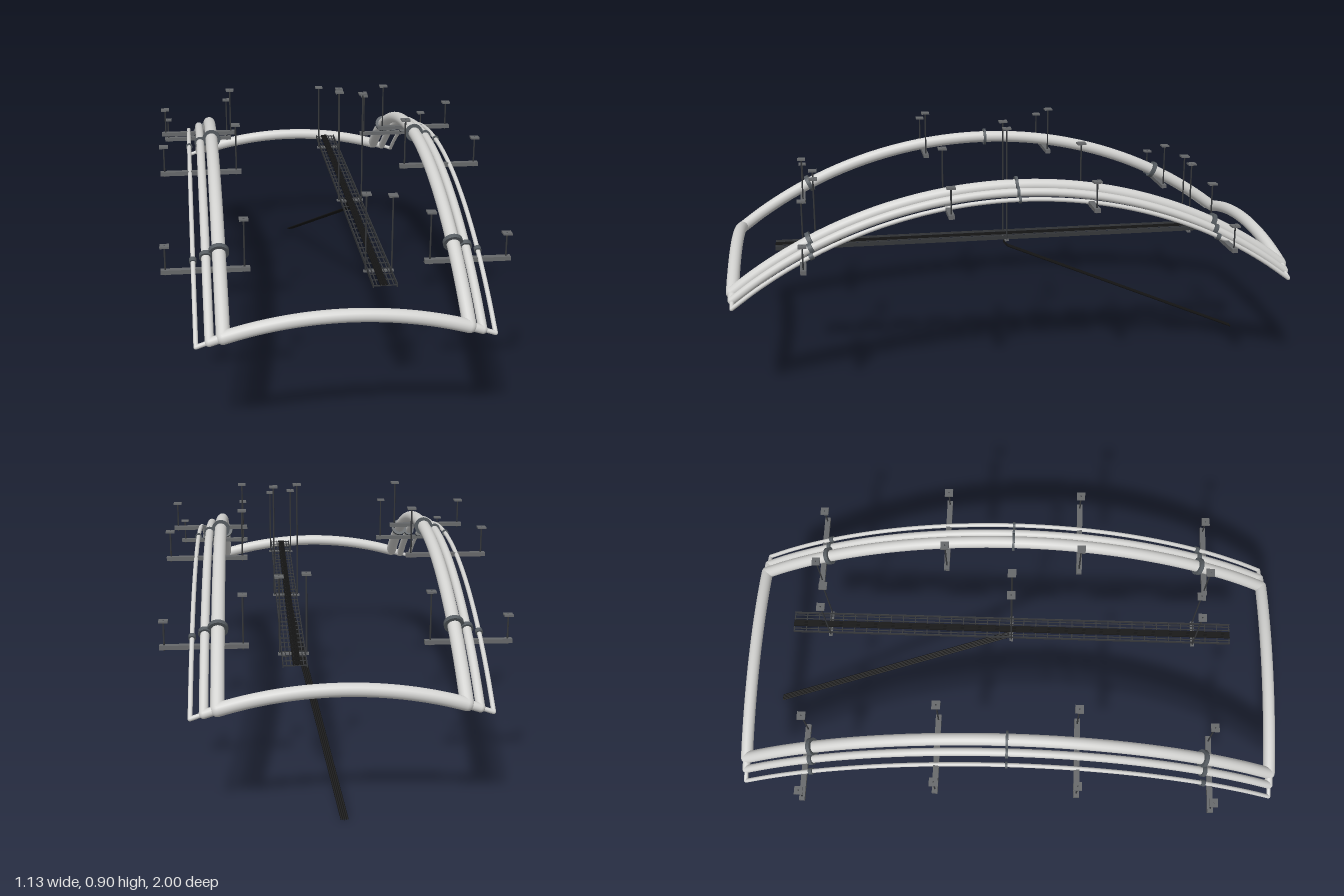
import * as THREE from 'three';

const mat = (name, color, extra = {}) => Object.assign(new THREE.MeshStandardMaterial({ color, ...extra }), { name });

export function createModel() {
  const model = new THREE.Group();
  const steel = mat('light steel', 0xd2d2d0);
  const flangeGrey = mat('flange grey', 0x555b60);
  const barGrey = mat('bar grey', 0x66686a);
  const rodDark = mat('rod dark grey', 0x35373a);
  const black = mat('cable black', 0x141414);

  const add = (parent, name, geo, material, x = 0, y = 0, z = 0) => {
    const m = new THREE.Mesh(geo, material);
    m.name = name;
    m.position.set(x, y, z);
    parent.add(m);
    return m;
  };
  const group = (name) => {
    const g = new THREE.Group();
    g.name = name;
    model.add(g);
    return g;
  };
  const box = (w, h, d) => new THREE.BoxGeometry(w, h, d);

  // Height lost on a circular arc of radius R at distance t from its crown
  const drop = (t, R) => R - Math.sqrt(R * R - t * t);
  const END = 0.977, R_LONG = 1.59, R_CROSS = 1.34, CROSS_TOP = 0.453;

  const arcTube = (half, r, point) => {
    const pts = [];
    for (let i = 0; i <= 24; i++) pts.push(point(half * (i / 12 - 1)));
    return new THREE.TubeGeometry(new THREE.CatmullRomCurve3(pts), 64, r, 20);
  };

  // Three nested pipe loops: arched side pipes joined by arched end pipes
  const pipes = [
    { name: 'large', x: 0.38, r: 0.022, flange: 0.033 },
    { name: 'medium', x: 0.422, r: 0.0145, flange: 0.021 },
    { name: 'small', x: 0.463, r: 0.0075, flange: 0.012 },
  ];
  for (const p of pipes) {
    const g = group(p.name + 'PipeLoop');
    const endY = CROSS_TOP - drop(p.x, R_CROSS);
    const crown = endY + drop(END, R_LONG);
    for (const s of [-1, 1]) {
      add(g, 'sidePipe', arcTube(END, p.r, (z) => new THREE.Vector3(s * p.x, crown - drop(z, R_LONG), z)), steel);
      add(g, 'endPipe', arcTube(p.x, p.r, (x) => new THREE.Vector3(x, CROSS_TOP - drop(x, R_CROSS), s * END)), steel);
      for (const e of [-1, 1]) add(g, 'cornerJoint', new THREE.SphereGeometry(p.r, 20, 12), steel, s * p.x, endY, e * END);
      // Flange collars, square to the pipe
      for (const z of [-0.705, 0, 0.705]) {
        const collar = add(g, 'flange', new THREE.CylinderGeometry(p.flange, p.flange, z ? 0.015 : 0.009, 28), flangeGrey,
          s * p.x, crown - drop(z, R_LONG), z);
        collar.rotation.x = Math.PI / 2 + Math.asin(z / R_LONG);
      }
    }
  }

  // Threaded rod with a ceiling plate
  const hanger = (parent, x, z, y0, y1) => {
    add(parent, 'hangerRod', new THREE.CylinderGeometry(0.0028, 0.0028, y1 - y0, 8), rodDark, x, (y0 + y1) / 2, z);
    add(parent, 'ceilingPlate', box(0.03, 0.006, 0.03), barGrey, x, y1 - 0.003, z);
  };

  // Crossbars below the side pipes
  for (const s of [-1, 1]) {
    for (const [z, y, inner, outer] of [[0.245, 0.685, 0.857, 0.785], [0.733, 0.519, 0.69, 0.608]]) {
      for (const e of [-1, 1]) {
        const g = group('pipeSupport');
        add(g, 'crossbar', box(0.284, 0.014, 0.02), barGrey, s * 0.424, y, e * z);
        hanger(g, s * 0.3, e * z, y - 0.012, inner);
        hanger(g, s * 0.551, e * z, y - 0.012, outer);
      }
    }
  }

  // Ladder tray with rails, long wires and rungs
  const tray = group('cableTray');
  const TX = 0.139, LEN = 1.664;
  for (const s of [-1, 1]) add(tray, 'sideRail', box(0.003, 0.014, LEN), rodDark, TX + s * 0.038, 0.482, 0);
  for (let i = -2; i <= 2; i++) add(tray, 'longWire', box(0.003, 0.003, LEN), rodDark, TX + i * 0.0135, 0.485, 0);
  for (let i = 0; i <= 36; i++) add(tray, 'rung', box(0.076, 0.003, 0.004), rodDark, TX, 0.482, (i / 36 - 0.5) * (LEN - 0.004));
  for (const z of [-0.69, 0, 0.69]) {
    add(tray, 'traySupport', box(0.1, 0.006, 0.014), barGrey, TX, 0.474, z);
    hanger(tray, 0.096, z, 0.471, z ? 0.744 : 0.9);
    hanger(tray, 0.183, z, 0.471, z ? 0.736 : 0.893);
  }

  // Flat bundle of cables: along the tray, then down and away to the floor
  const cables = group('cableBundle');
  for (let i = 0; i < 4; i++) {
    const dx = (i - 1.5) * 0.0062;
    add(cables, 'trayCable', box(0.0058, 0.005, LEN), black, 0.134 + dx, 0.4855, 0);
    const path = new THREE.CurvePath();
    const a = new THREE.Vector3(0.132 + dx, 0.484, 0);
    const b = new THREE.Vector3(0.131 + dx, 0.442, 0);
    const c = new THREE.Vector3(-0.01 + dx, 0.0035, -0.946);
    path.add(new THREE.LineCurve3(a, b));
    path.add(new THREE.LineCurve3(b, c));
    add(cables, 'droppingCable', new THREE.TubeGeometry(path, 60, 0.0035, 8), black);
  }
  return model;
}
